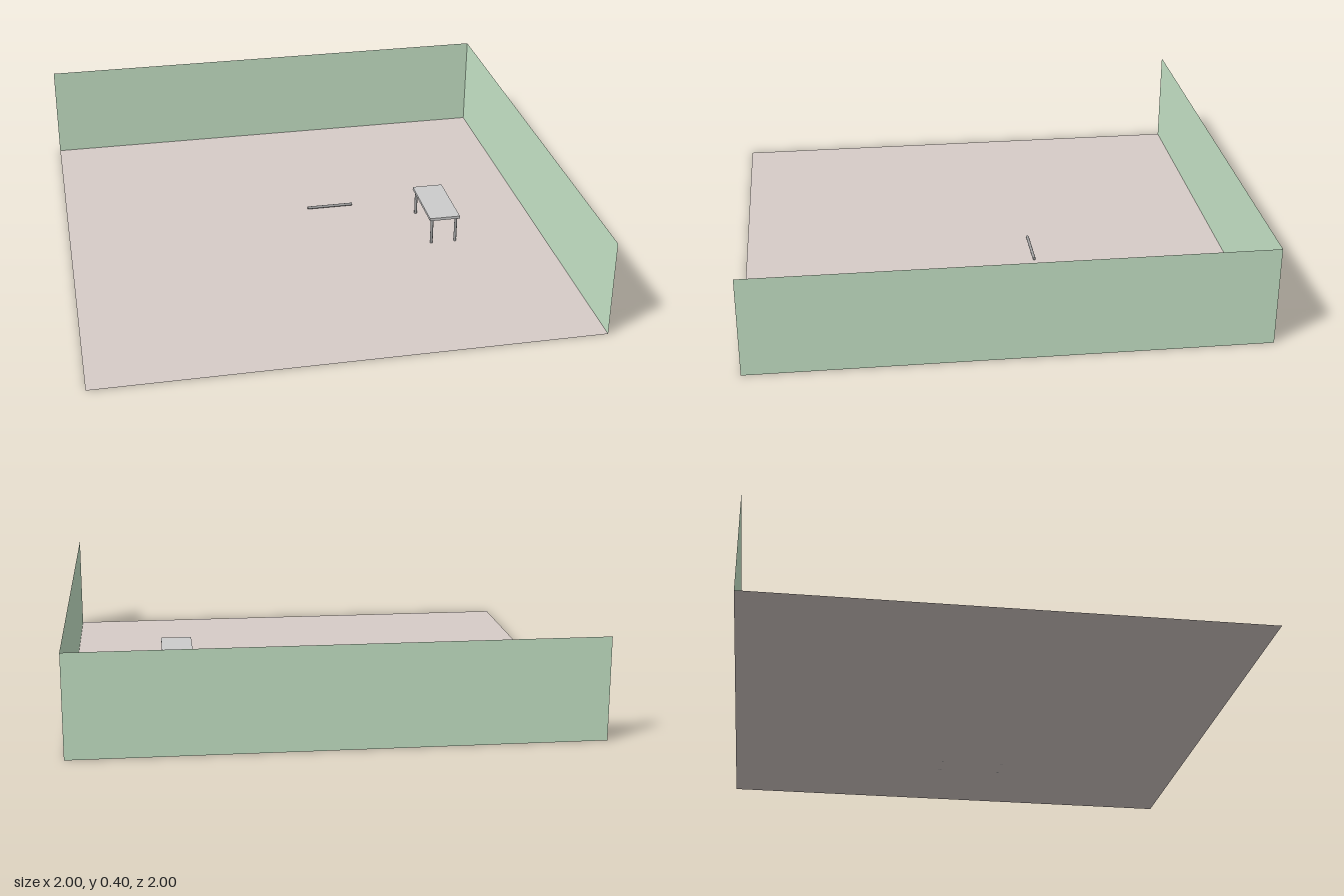
import * as THREE from 'three';

const material = (color, side = THREE.FrontSide) => new THREE.MeshStandardMaterial({ color, side });

function addPart(parent, name, geometry, mat, x, y, z) {
  const mesh = new THREE.Mesh(geometry, mat);
  mesh.name = name;
  mesh.position.set(x, y, z);
  parent.add(mesh);
  return mesh;
}

export function createModel() {
  const model = new THREE.Group();
  model.name = 'room';
  const floorMat = material(0xd7ccc8, THREE.DoubleSide);
  const wallMat = material(0xc8e6c9, THREE.DoubleSide);
  const topMat = material(0xbdbdbd);
  const legMat = material(0x9e9e9e);

  // Floor and two thin walls
  addPart(model, 'floor', new THREE.PlaneGeometry(2, 2), floorMat, 0, 0, 0).rotation.x = -Math.PI / 2;
  const wallGeo = new THREE.PlaneGeometry(2, 0.4);
  addPart(model, 'backWall', wallGeo, wallMat, 0, 0.2, -1);
  addPart(model, 'leftWall', wallGeo, wallMat, 1, 0.2, 0).rotation.y = -Math.PI / 2;

  // Table with four round legs
  const table = new THREE.Group();
  table.name = 'table';
  table.position.set(0.567, 0, 0.054);
  model.add(table);
  addPart(table, 'tableTop', new THREE.BoxGeometry(0.13, 0.012, 0.293), topMat, 0, 0.118, 0);
  const legGeo = new THREE.CylinderGeometry(0.006, 0.006, 0.112, 16);
  for (const x of [-0.052, 0.052])
    for (const z of [-0.133, 0.133]) addPart(table, 'tableLeg', legGeo, legMat, x, 0.056, z);

  // Round bar lying just above the floor
  const barGeo = new THREE.CylinderGeometry(0.006, 0.006, 0.2, 16);
  addPart(model, 'bar', barGeo, legMat, 0.152, 0.012, -0.193).rotation.z = Math.PI / 2;

  return model;
}
